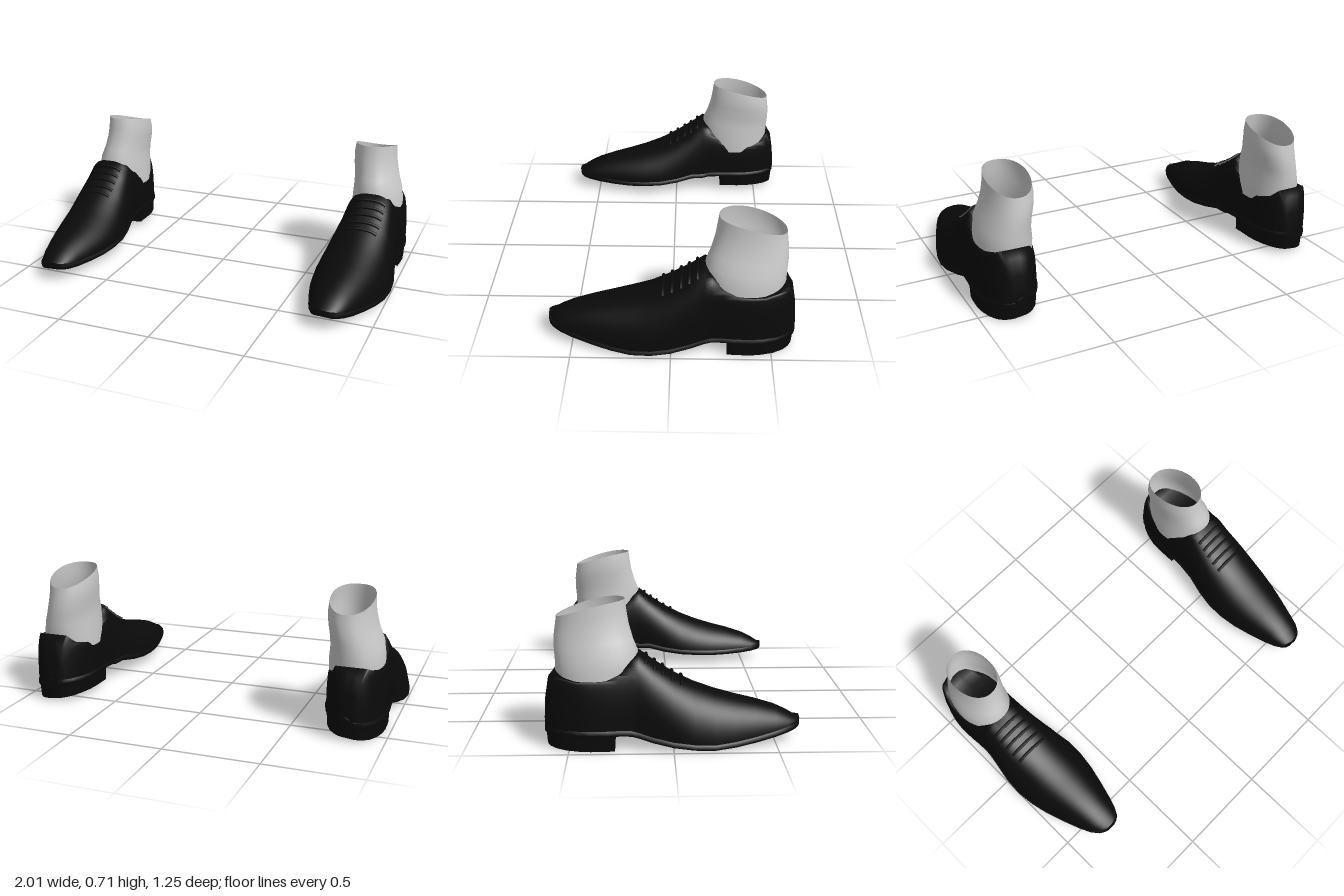
import * as THREE from 'three';

const black = new THREE.MeshStandardMaterial({ color: 0x0a0a0a });
black.name = 'black leather';
const grey = new THREE.MeshStandardMaterial({ color: 0xcccccc, side: THREE.DoubleSide });
grey.name = 'light grey sock';

// Stations of the left shoe, toe to heel: z, inner x, outer x, underside y, crown y, collar y
const STATIONS = [
  [0.625, 0.75, 0.79, 0.078, 0.1, 1],
  [0.617, 0.727, 0.815, 0.072, 0.108, 1],
  [0.6, 0.707, 0.84, 0.067, 0.118, 1],
  [0.56, 0.685, 0.87, 0.058, 0.143, 1],
  [0.5, 0.665, 0.897, 0.045, 0.172, 1],
  [0.4, 0.638, 0.933, 0.028, 0.203, 1],
  [0.3, 0.615, 0.965, 0.015, 0.228, 1],
  [0.2, 0.602, 0.988, 0.007, 0.258, 1],
  [0.1, 0.603, 1.0, 0.013, 0.297, 1],
  [0, 0.62, 0.995, 0.025, 0.345, 1],
  [-0.1, 0.645, 0.977, 0.045, 0.41, 1],
  [-0.165, 0.657, 0.967, 0.066, 0.46, 1],
  [-0.2, 0.66, 0.965, 0.075, 0.46, 0.43],
  [-0.26, 0.663, 0.968, 0.077, 0.46, 0.37],
  [-0.32, 0.664, 0.973, 0.076, 0.46, 0.345],
  [-0.4, 0.665, 0.975, 0.076, 0.46, 0.34],
  [-0.46, 0.672, 0.968, 0.076, 0.46, 0.34],
  [-0.52, 0.69, 0.953, 0.076, 0.45, 0.352],
  [-0.57, 0.715, 0.928, 0.076, 0.43, 0.375],
  [-0.6, 0.742, 0.9, 0.076, 0.34, 1],
  [-0.615, 0.765, 0.872, 0.076, 0.25, 1],
  [-0.621, 0.785, 0.847, 0.076, 0.16, 1],
];

// Interpolated station at any z
function stationAt(z) {
  const i = STATIONS.findIndex((s) => s[0] <= z);
  const a = STATIONS[i - 1], b = STATIONS[i];
  const t = (a[0] - z) / (a[0] - b[0]);
  return a.map((v, k) => v + (b[k] - v) * t);
}

// The underside rises toward the inner edge; u runs from -1 (inner) to 1 (outer)
const baseY = ([z, , , yb], u) => {
  const tilt = z > 0.2 ? 0.055 * Math.max(0.1, (0.63 - z) / 0.43) : z < -0.15 ? 0.03 : 0.055;
  return yb + tilt * (1 - u) / 2;
};

// One domed slice of the upper, cut off at the collar
function domeSlice(s, count = 36) {
  const [z, xi, xo, , crown, collar] = s;
  const n = THREE.MathUtils.clamp(2.1 + (0.1 - z) * 4, 2.1, 3.2);
  return Array.from({ length: count + 1 }, (_, j) => {
    const a = Math.PI * (1 - j / count);
    const u = Math.sign(Math.cos(a)) * Math.abs(Math.cos(a)) ** (2 / n);
    const low = baseY(s, u) + 0.015;
    const y = low + Math.max(0, crown - low) * Math.max(0, Math.sin(a)) ** (2 / n);
    const cut = collar - (collar < 0.36 ? 0.03 * Math.max(0, -u) : 0);
    return [(xi + xo) / 2 + u * (xo - xi) / 2 * 0.99, Math.min(y, cut), z];
  });
}

// One slice of the sole, from the outer edge under to the inner edge
function soleSlice(s) {
  const [z, xi, xo] = s, c = (xi + xo) / 2, w = (xo - xi) / 2 + 0.003;
  return [[0.9, 0.033], [1, 0.028], [1, 0.008], [0.95, 0], [0.5, 0], [0, 0],
    [-0.5, 0], [-0.95, 0], [-1, 0.008], [-1, 0.028], [-0.9, 0.033]]
    .map(([u, h]) => [c + u * w, baseY(s, u) + h, z]);
}

const average = (row) => [0, 1, 2].map((k) => row.reduce((sum, p) => sum + p[k], 0) / row.length);

// Skin through rows of points; side -1 mirrors it across x
function loft(rows, side, closed = false) {
  const n = rows[0].length, pos = [], index = [];
  rows.forEach((row) => row.forEach(([x, y, z]) => pos.push(x * side, y, z)));
  for (let i = 0; i < rows.length - 1; i++) {
    for (let j = 0; j < (closed ? n : n - 1); j++) {
      const k = (j + 1) % n;
      const a = i * n + j, b = i * n + k, c = a + n, d = b + n;
      if (side > 0) index.push(a, b, c, b, d, c);
      else index.push(a, c, b, b, c, d);
    }
  }
  const g = new THREE.BufferGeometry();
  g.setAttribute('position', new THREE.Float32BufferAttribute(pos, 3));
  g.setIndex(index);
  g.computeVertexNormals();
  return g;
}

// Close both ends of a loft with flat fans
function capped(rows) {
  const end = (row) => { const c = average(row); return row.map(() => c); };
  const first = rows[0], last = rows[rows.length - 1];
  return [end(first), first, ...rows, last, end(last)];
}

// Heel block following the rear of the sole outline
function heelRows() {
  const rear = [stationAt(-0.28), ...STATIONS.filter((s) => s[0] < -0.3)];
  const outline = [
    ...rear.map((s) => [s[1], s[0]]),
    ...rear.slice().reverse().map((s) => [s[2], s[0]]),
  ];
  const ring = (y, k) => outline.map(([x, z]) => [
    0.82 + (x - 0.82) * k,
    y + 0.035 * (0.975 - x) / 0.31,
    z < -0.29 ? -0.28 + (z + 0.28) * (k + 0.01) : z,
  ]);
  return capped([ring(0.085, 0.98), ring(0.045, 0.965), ring(0.003, 0.955)]);
}

// Sock rings: front y, back y, front z, back z, inner x, outer x
const SOCK = [
  [0.71, 0.63, -0.23, -0.56, 0.668, 0.89],
  [0.65, 0.59, -0.222, -0.565, 0.661, 0.892],
  [0.59, 0.54, -0.212, -0.572, 0.664, 0.9],
  [0.52, 0.48, -0.192, -0.573, 0.673, 0.915],
  [0.46, 0.42, -0.168, -0.568, 0.674, 0.936],
  [0.38, 0.36, -0.168, -0.567, 0.668, 0.947],
  [0.28, 0.28, -0.175, -0.55, 0.668, 0.947],
];

function sockRows() {
  const count = 40;
  return SOCK.map(([yf, yb, zf, zb, xi, xo]) => Array.from({ length: count }, (_, j) => {
    const a = 2 * Math.PI * j / count;
    const t = (1 - Math.cos(a)) / 2;
    return [
      (xi + xo) / 2 + (xo - xi) / 2 * Math.sign(Math.sin(a)) * Math.abs(Math.sin(a)) ** 0.9,
      yf + (yb - yf) * t ** 1.6,
      zf + (zb - zf) * t,
    ];
  }));
}

function makeShoe(side) {
  const shoe = new THREE.Group();
  shoe.name = side > 0 ? 'leftShoe' : 'rightShoe';
  const add = (name, geometry, material) => {
    const mesh = new THREE.Mesh(geometry, material);
    mesh.name = name;
    shoe.add(mesh);
  };
  add('upper', loft(capped(STATIONS.map((s) => domeSlice(s))), side), black);
  add('sole', loft(capped(STATIONS.map(soleSlice)), side, true), black);
  add('heel', loft(heelRows(), side, true), black);
  add('sock', loft(sockRows(), side, true), grey);

  // Laces lie across the crown
  for (const z of [0.04, -0.005, -0.05, -0.09, -0.13]) {
    const pts = domeSlice(stationAt(z)).slice(13, 24)
      .map(([x, y, pz]) => new THREE.Vector3(x * side, y + 0.002, pz));
    add('lace', new THREE.TubeGeometry(new THREE.CatmullRomCurve3(pts), 16, 0.009, 8), black);
  }
  return shoe;
}

export function createModel() {
  const model = new THREE.Group();
  model.name = 'shoesWithSocks';
  for (const side of [1, -1]) model.add(makeShoe(side));
  return model;
}
